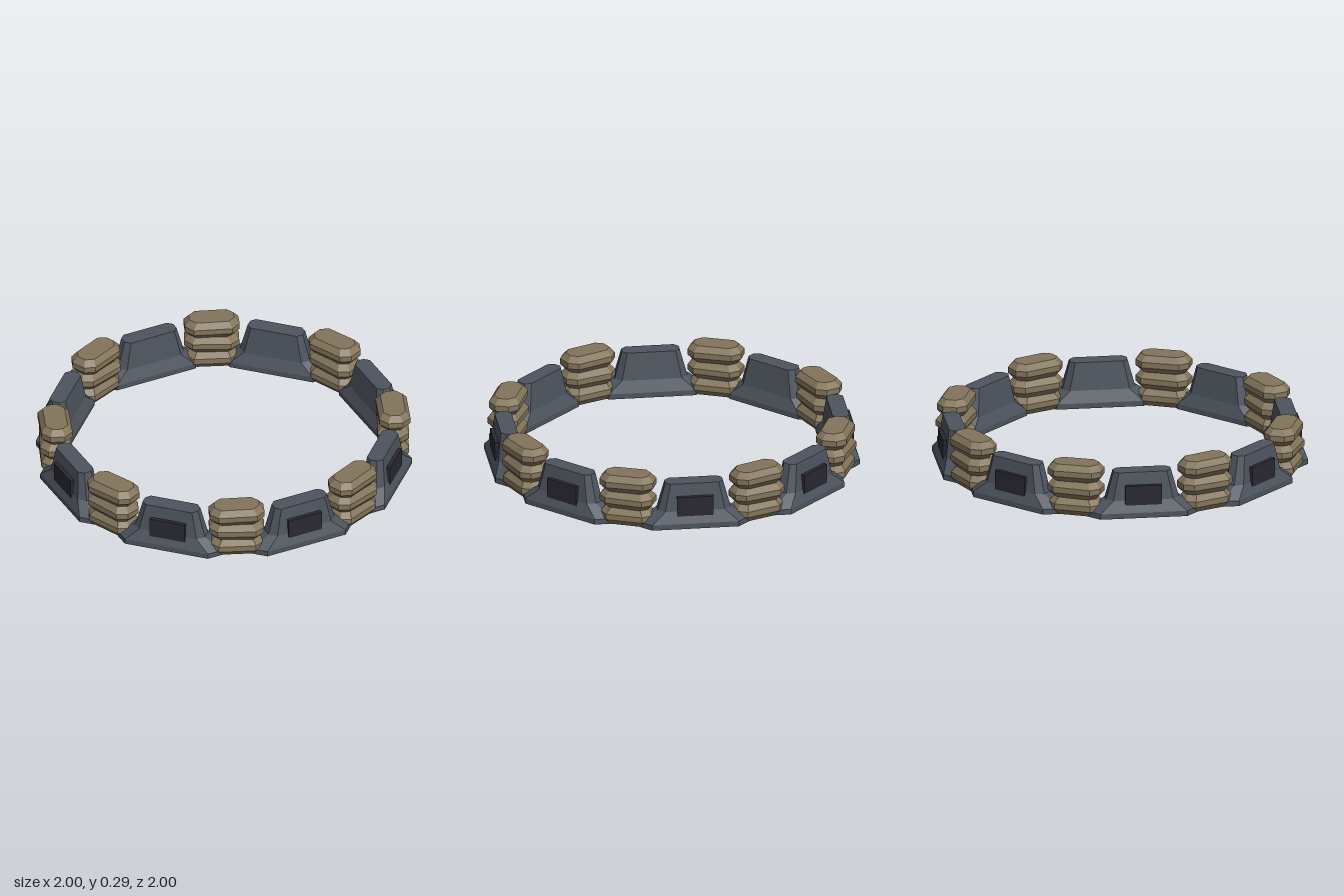
import * as THREE from 'three';

const concrete = new THREE.MeshStandardMaterial({ color: 0x4d545e, flatShading: true });
concrete.name = 'slate concrete';
const burlap = new THREE.MeshStandardMaterial({ color: 0x84755b, flatShading: true });
burlap.name = 'tan burlap';
const dark = new THREE.MeshStandardMaterial({ color: 0x2a2932, flatShading: true });
dark.name = 'dark panel';

// Stack of chamfered rectangles [y, halfLength, halfDepth, chamfer], capped at both ends
function loft(sections) {
  const positions = [], index = [], n = 8;
  for (const [y, a, b, c] of sections) {
    const ring = [[a, b - c], [a - c, b], [c - a, b], [-a, b - c], [-a, c - b], [c - a, -b], [a - c, -b], [a, c - b]];
    for (const [x, z] of ring) positions.push(x, y, z);
  }
  const last = (sections.length - 1) * n;
  for (let s = 0; s < last; s += n) {
    for (let i = 0; i < n; i++) {
      const j = (i + 1) % n;
      index.push(s + i, s + n + i, s + j, s + j, s + n + i, s + n + j);
    }
  }
  for (let i = 1; i < n - 1; i++) {
    index.push(0, i, i + 1);
    index.push(last, last + i + 1, last + i);
  }
  const geometry = new THREE.BufferGeometry();
  geometry.setAttribute('position', new THREE.Float32BufferAttribute(positions, 3));
  geometry.setIndex(index);
  const flat = geometry.toNonIndexed();
  flat.computeVertexNormals();
  return flat;
}

function addMesh(parent, name, geometry, material, x, y, z) {
  const mesh = new THREE.Mesh(geometry, material);
  mesh.name = name;
  mesh.position.set(x, y, z);
  parent.add(mesh);
  return mesh;
}

export function createModel() {
  const model = new THREE.Group();
  model.name = 'barricadeRing';

  // Flared footing, sloped shoulder and tapering wall
  const barrierGeometry = loft([
    [0, 0.3, 0.09, 0.062],
    [0.03, 0.3, 0.09, 0.062],
    [0.095, 0.2, 0.064, 0.036],
    [0.25, 0.158, 0.046, 0.026],
  ]);
  const panelGeometry = new THREE.BoxGeometry(0.2, 0.11, 0.04);

  // Plump sandbag
  const bagGeometry = loft([
    [0, 0.122, 0.06, 0.035],
    [0.032, 0.15, 0.085, 0.045],
    [0.064, 0.15, 0.085, 0.045],
    [0.097, 0.122, 0.06, 0.035],
  ]);

  for (let k = 0; k < 8; k++) {
    const barrier = new THREE.Group();
    barrier.name = 'barrier';
    barrier.rotation.y = k * Math.PI / 4;
    addMesh(barrier, 'barrierWall', barrierGeometry, concrete, 0, 0, 0.91);
    addMesh(barrier, 'outerPanel', panelGeometry, dark, 0, 0.125, 0.966);
    model.add(barrier);

    const stack = new THREE.Group();
    stack.name = 'sandbagStack';
    stack.rotation.y = (k + 0.5) * Math.PI / 4;
    for (let layer = 0; layer < 3; layer++) {
      const bag = addMesh(stack, 'sandbag', bagGeometry, burlap, 0, layer * 0.096, 0.922);
      bag.rotation.y = [0, -0.05, 0.03][layer];
      if (layer === 0) bag.scale.set(0.96, 1, 0.96);
    }
    model.add(stack);
  }
  return model;
}
